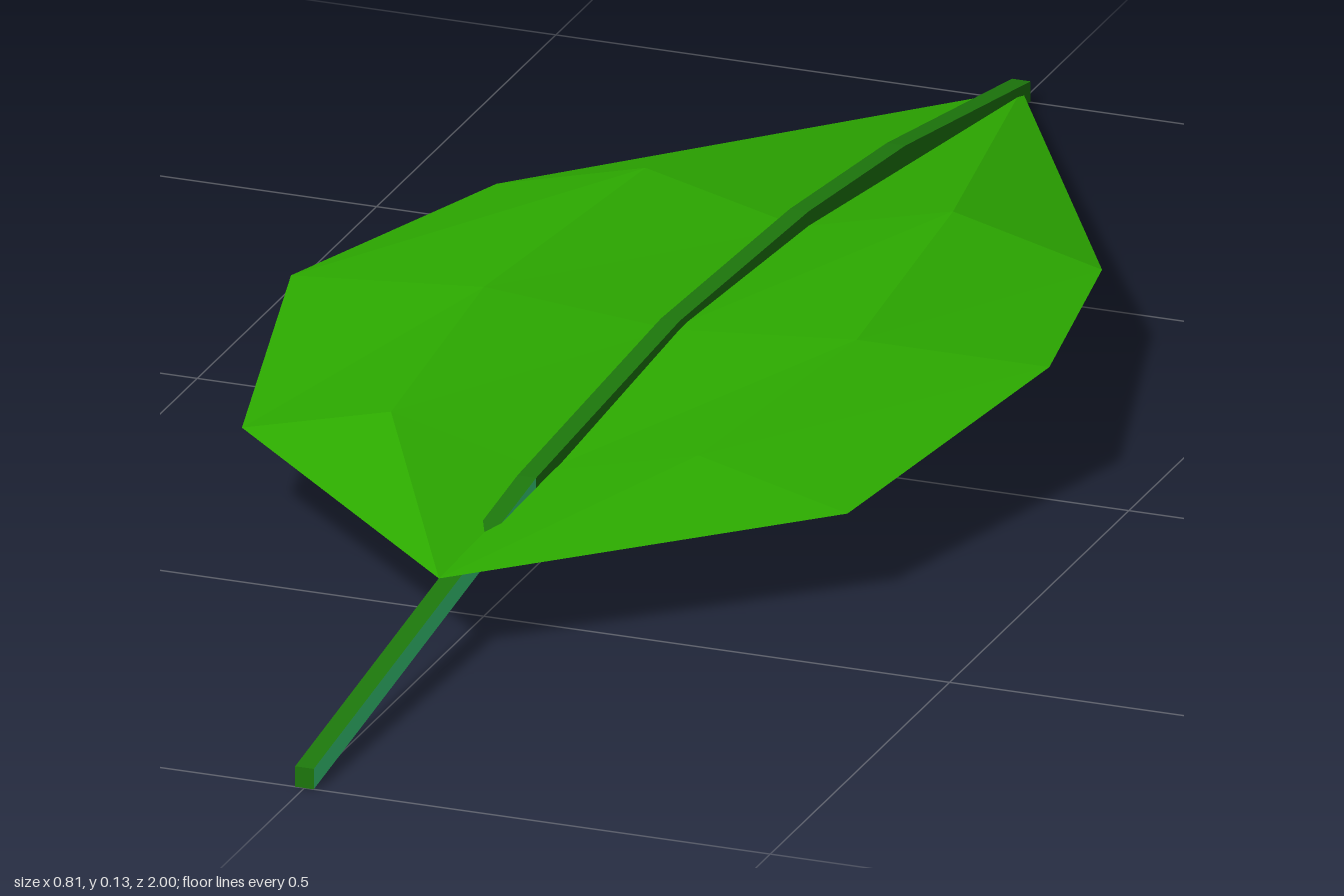
import * as THREE from 'three';

const leafGreen = new THREE.MeshStandardMaterial({ color: 0x2caa00, side: THREE.DoubleSide, flatShading: true });
leafGreen.name = 'leafGreen';
const ribGreen = new THREE.MeshStandardMaterial({ color: 0x1d780c, flatShading: true });
ribGreen.name = 'ribGreen';
const stemMint = new THREE.MeshStandardMaterial({ color: 0x3cd880, flatShading: true });
stemMint.name = 'stemMint';

// Collect quads/triangles (counter-clockwise from outside) into a geometry
function facesToGeometry(faces) {
  const pos = [];
  for (const f of faces) {
    for (let i = 1; i < f.length - 1; i++) pos.push(...f[0], ...f[i], ...f[i + 1]);
  }
  const geometry = new THREE.BufferGeometry();
  geometry.setAttribute('position', new THREE.Float32BufferAttribute(pos, 3));
  geometry.computeVertexNormals();
  return geometry;
}

function addMesh(group, name, faces, material) {
  const mesh = new THREE.Mesh(facesToGeometry(faces), material);
  mesh.name = name;
  group.add(mesh);
}

// Blade: folded cross-sections between a base point and a tip point
function buildBlade() {
  const base = [0, 0.087, 0.625], tip = [0, 0.012, -1];
  const rows = [
    [[-0.325, 0.094], [-0.165, 0.134], [0, 0.094], [0.165, 0.134], [0.325, 0.094]],
    [[-0.407, 0.117], [-0.2, 0.134], [0, 0.117], [0.2, 0.134], [0.407, 0.134]],
    [[-0.325, 0.094], [-0.165, 0.134], [0, 0.094], [0.165, 0.134], [0.325, 0.094]],
  ];
  const depths = [0.33, -0.02, -0.38];
  const rings = rows.map((row, r) => row.map(([x, y]) => [x, y, depths[r]]));
  const faces = [];
  for (let i = 0; i < 4; i++) {
    faces.push([base, rings[0][i + 1], rings[0][i]]);
    for (let r = 0; r < 2; r++) {
      faces.push([rings[r][i], rings[r][i + 1], rings[r + 1][i + 1], rings[r + 1][i]]);
    }
    faces.push([rings[2][i], rings[2][i + 1], tip]);
  }
  return faces;
}

// Midrib and stem: one square section swept along an arched path of [z, y]
function buildRib() {
  const path = [[1, 0.011], [0.38, 0.095], [-0.02, 0.116], [-0.38, 0.101], [-0.65, 0.072], [-0.999, 0.012]];
  const w = 0.01, h = 0.011;
  const rings = path.map(([z, y]) => [[w, y - h, z], [w, y + h, z], [-w, y + h, z], [-w, y - h, z]]);
  const faces = [], mint = [];
  for (let r = 0; r < rings.length - 1; r++) {
    for (let k = 0; k < 4; k++) {
      const n = (k + 1) % 4;
      const face = [rings[r][k], rings[r + 1][k], rings[r + 1][n], rings[r][n]];
      // the stem's left side is pale
      (r === 0 && k === 0 ? mint : faces).push(face);
    }
  }
  faces.push(rings[0], [...rings[rings.length - 1]].reverse());
  return { faces, mint };
}

export function createModel() {
  const group = new THREE.Group();
  group.name = 'leaf';
  addMesh(group, 'blade', buildBlade(), leafGreen);
  const rib = buildRib();
  addMesh(group, 'midribAndStem', rib.faces, ribGreen);
  addMesh(group, 'stemPaleSide', rib.mint, stemMint);
  return group;
}
